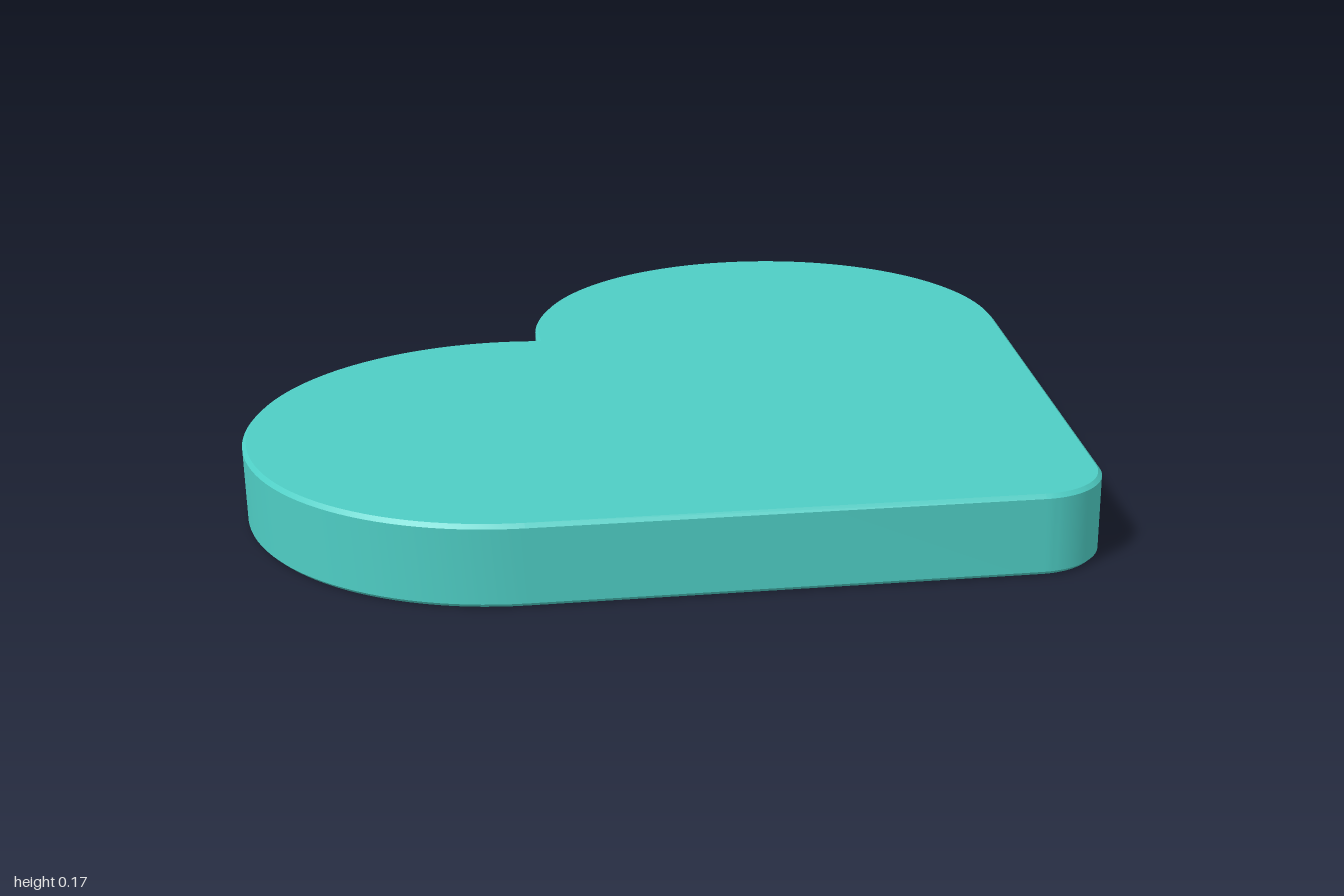
import * as THREE from 'three';
import { toCreasedNormals } from 'three/addons/utils/BufferGeometryUtils.js';

const THICKNESS = 0.17;
const BEVEL = 0.008;
const LOBE = { x: 0.44, z: -0.29, r: 0.56 };
const TIP = { z: 0.7, r: 0.15 };

function arc(x, z, r, start, end, segments) {
  return Array.from({ length: segments + 1 }, (_, i) => {
    const a = start + (end - start) * i / segments;
    return new THREE.Vector2(x + r * Math.cos(a), z + r * Math.sin(a));
  });
}

// Two round lobes joined by straight tangents to a rounded tip
function heartOutline() {
  const dz = LOBE.z - TIP.z;
  const tangent = Math.atan2(dz, LOBE.x) + Math.acos((TIP.r - LOBE.r) / Math.hypot(LOBE.x, dz));
  const notch = -Math.PI + Math.acos(LOBE.x / LOBE.r);
  const points = [
    ...arc(LOBE.x, LOBE.z, LOBE.r, notch, tangent, 64),
    ...arc(0, TIP.z, TIP.r, tangent, Math.PI - tangent, 24),
    ...arc(-LOBE.x, LOBE.z, LOBE.r, Math.PI - tangent, Math.PI - notch, 64),
  ];
  points.pop(); // the last point meets the first at the notch
  return new THREE.Shape(points);
}

export function createModel() {
  const group = new THREE.Group();
  group.name = 'heartPlate';

  // Flat slab with a fine chamfer on its top and bottom rims
  const slab = new THREE.ExtrudeGeometry(heartOutline(), {
    depth: THICKNESS - 2 * BEVEL,
    bevelThickness: BEVEL,
    bevelSize: BEVEL,
    bevelOffset: -BEVEL,
    bevelSegments: 1,
  });
  slab.rotateX(Math.PI / 2);
  slab.translate(0, THICKNESS - BEVEL, 0);

  const heart = new THREE.Mesh(
    toCreasedNormals(slab, Math.PI / 6),
    new THREE.MeshStandardMaterial({ color: 0x4ecdc4 }),
  );
  heart.name = 'heart';
  group.add(heart);
  return group;
}
